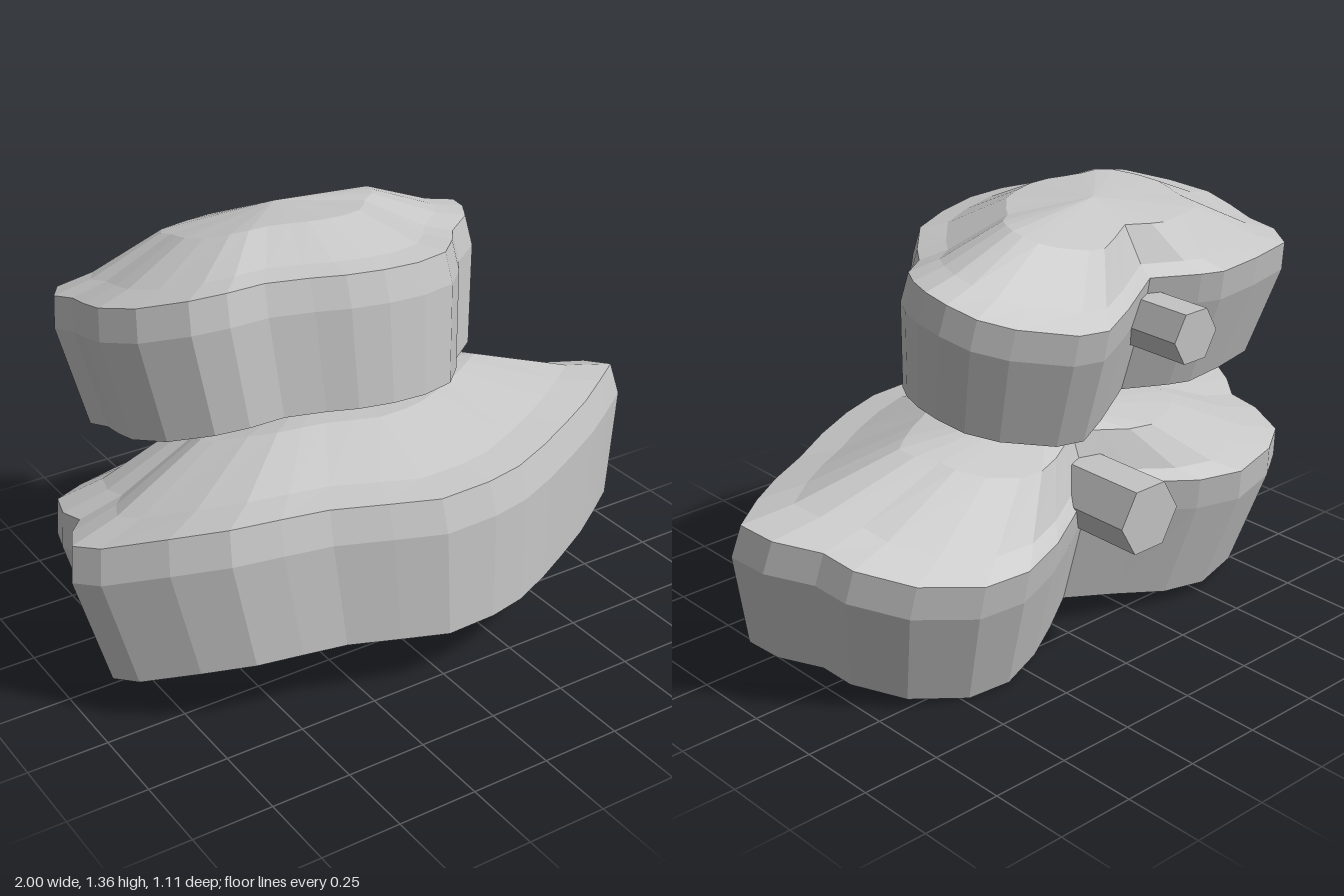
import * as THREE from 'three';

const stone = new THREE.MeshStandardMaterial({ color: 0xc4c4c4, flatShading: true });
stone.name = 'stone grey';

// Cross-sections from underside to crown: [outline scale, height, share of the rim waviness]
const RINGS = [[0.92, -0.33, 1], [1, 0, 1], [0.98, 0.105, 1], [0.82, 0.14, 0.9], [0.5, 0.27, 0.4]];
const UNDERSIDE = -0.32, CROWN = 0.33;

// Outlines run from the +x tip past the front to the back: [x, z, height offset]
const LOWER = [
  [1, 0.09, 0.04], [0.88, 0.18, 0.03], [0.75, 0.265, 0.01], [0.6, 0.345, -0.01], [0.45, 0.43, -0.02],
  [0.3, 0.5, -0.03], [0.16, 0.54, -0.03], [-0.02, 0.55, -0.03], [-0.18, 0.51, -0.01], [-0.35, 0.46, 0.01],
  [-0.5, 0.44, 0.02], [-0.65, 0.41, 0.025], [-0.8, 0.32, 0.02], [-0.95, 0.18, 0], [-1, 0.09, 0],
  [-0.95, -0.02, 0], [-0.89, -0.1, 0], [-0.9, -0.2, 0], [-0.86, -0.33, 0], [-0.75, -0.4, 0],
  [-0.55, -0.455, 0.01], [-0.38, -0.43, 0.02], [-0.2, -0.36, 0.035], [-0.02, -0.29, 0.045], [0.1, -0.36, 0.02],
  [0.22, -0.42, 0], [0.37, -0.465, -0.015], [0.52, -0.445, -0.025], [0.7, -0.35, -0.015], [0.83, -0.22, 0.01],
  [0.87, -0.13, 0.03], [0.97, -0.02, 0.04],
];
const UPPER = [
  [0.49, -0.13, 0.07], [0.47, -0.05, 0.06], [0.43, 0.02, 0.045], [0.33, 0.09, 0.025], [0.28, 0.16, 0.015],
  [0.18, 0.27, 0.012], [0.05, 0.32, 0.015], [-0.08, 0.34, 0.025], [-0.2, 0.33, 0.035], [-0.3, 0.3, 0.045],
  [-0.43, 0.27, 0.055], [-0.55, 0.27, 0.055], [-0.65, 0.23, 0.05], [-0.76, 0.12, 0.04], [-0.82, 0, 0.04],
  [-0.82, -0.1, 0.04], [-0.81, -0.2, 0.04], [-0.83, -0.29, 0.04], [-0.78, -0.38, 0.045], [-0.6, -0.42, 0.055],
  [-0.43, -0.44, 0.06], [-0.35, -0.42, 0.06], [-0.2, -0.35, 0.05], [-0.05, -0.42, 0.02], [0.06, -0.46, 0],
  [0.16, -0.44, 0], [0.33, -0.35, 0.02], [0.42, -0.28, 0.04], [0.47, -0.2, 0.06],
];

// Leaning rock hold: closed loops stacked along a tilted axis
function makeHold(name, outline, [cx, cy, cz], tilt, heightScale, depthScale) {
  const n = outline.length, pos = [], idx = [];
  for (const [s, y, share] of RINGS)
    for (const [x, z, h] of outline)
      pos.push((x - cx) * s, y * heightScale + h * share, (z - cz) * depthScale * s);
  const bottom = RINGS.length * n, top = bottom + 1, last = bottom - n;
  pos.push(0, UNDERSIDE * heightScale, 0, 0, CROWN * heightScale, 0);
  for (let i = 0; i < n; i++) {
    const j = (i + 1) % n;
    idx.push(bottom, i, j, last + i, top, last + j);
    for (let r = 0; r < last; r += n)
      idx.push(r + i, r + n + i, r + j, r + j, r + n + i, r + n + j);
  }
  const geo = new THREE.BufferGeometry();
  geo.setAttribute('position', new THREE.Float32BufferAttribute(pos, 3));
  geo.setIndex(idx);
  geo.computeVertexNormals();
  const mesh = new THREE.Mesh(geo, stone);
  mesh.name = name;
  mesh.position.set(cx, cy, cz);
  mesh.rotation.x = -tilt;
  return mesh;
}

// Hexagonal peg pointing backwards, flat on top
function makePeg(name, x, y, radius) {
  const back = -0.555, front = -0.2;
  const geo = new THREE.CylinderGeometry(radius, radius, front - back, 6);
  geo.rotateY(Math.PI / 6).rotateX(Math.PI / 2);
  const mesh = new THREE.Mesh(geo, stone);
  mesh.name = name;
  mesh.position.set(x, y, (front + back) / 2);
  return mesh;
}

export function createModel() {
  const model = new THREE.Group();
  model.name = 'stackedHolds';
  model.add(
    makeHold('lowerHold', LOWER, [0, 0.418, -0.083], 0.21, 1, 0.985),
    makeHold('upperHold', UPPER, [-0.17, 1.06, -0.09], 0.227, 0.9, 0.975),
    makePeg('lowerPeg', -0.025, 0.5, 0.115),
    makePeg('upperPeg', -0.193, 1.02, 0.087),
  );
  return model;
}
